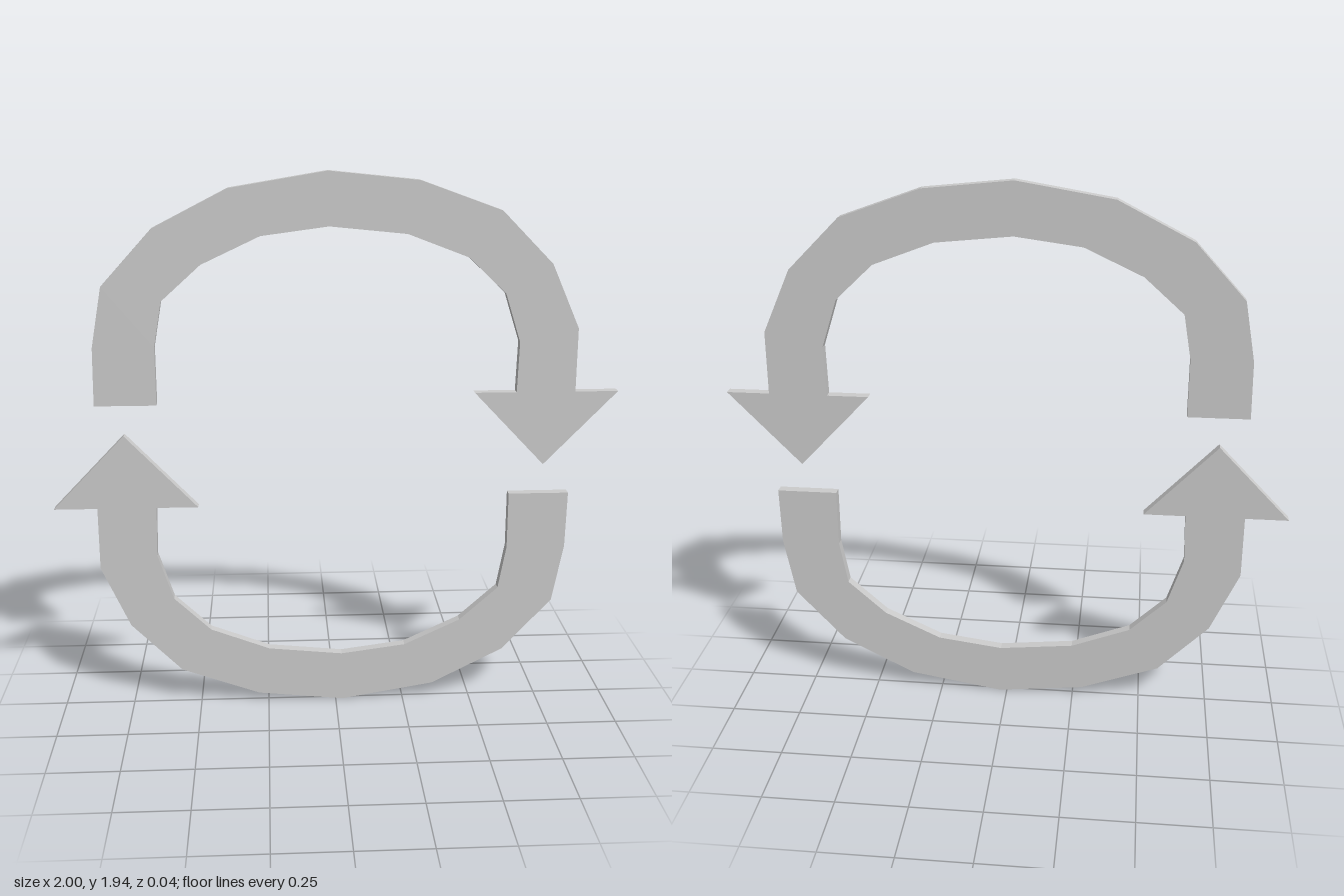
import * as THREE from 'three';

const THICKNESS = 0.036;
const CENTRE_Y = 0.973;

// Outer edge of the band, from the square tail over to the arrowhead
const outerEdge = [
  [-0.84, 1.145], [-0.836, 1.35], [-0.797, 1.56], [-0.62, 1.753], [-0.36, 1.886], [-0.025, 1.942],
  [0.285, 1.91], [0.567, 1.808], [0.747, 1.626], [0.847, 1.402], [0.847, 1.176],
];
const head = [[1, 1.176], [0.743, 0.91], [0.49, 1.176]];
// Inner edge, from the arrowhead back to the tail
const innerEdge = [
  [0.638, 1.176], [0.643, 1.355], [0.588, 1.525], [0.457, 1.65], [0.245, 1.731], [-0.022, 1.758],
  [-0.255, 1.727], [-0.458, 1.632], [-0.596, 1.508], [-0.624, 1.35], [-0.624, 1.145],
];

export function createModel() {
  const group = new THREE.Group();
  group.name = 'circulatingArrows';
  const material = new THREE.MeshStandardMaterial({ color: 0xcccccc, flatShading: true });

  // Outline relative to the centre of rotation
  const points = [...outerEdge, ...head, ...innerEdge].map(([x, y]) => new THREE.Vector2(x, y - CENTRE_Y));
  const geometry = new THREE.ExtrudeGeometry(new THREE.Shape(points), { depth: THICKNESS, bevelEnabled: false });
  geometry.translate(0, 0, -THICKNESS / 2);

  // Two identical arrows, half a turn apart
  ['upperArrow', 'lowerArrow'].forEach((name, i) => {
    const arrow = new THREE.Mesh(geometry, material);
    arrow.name = name;
    arrow.position.y = CENTRE_Y;
    arrow.rotation.z = i * Math.PI;
    group.add(arrow);
  });
  return group;
}
